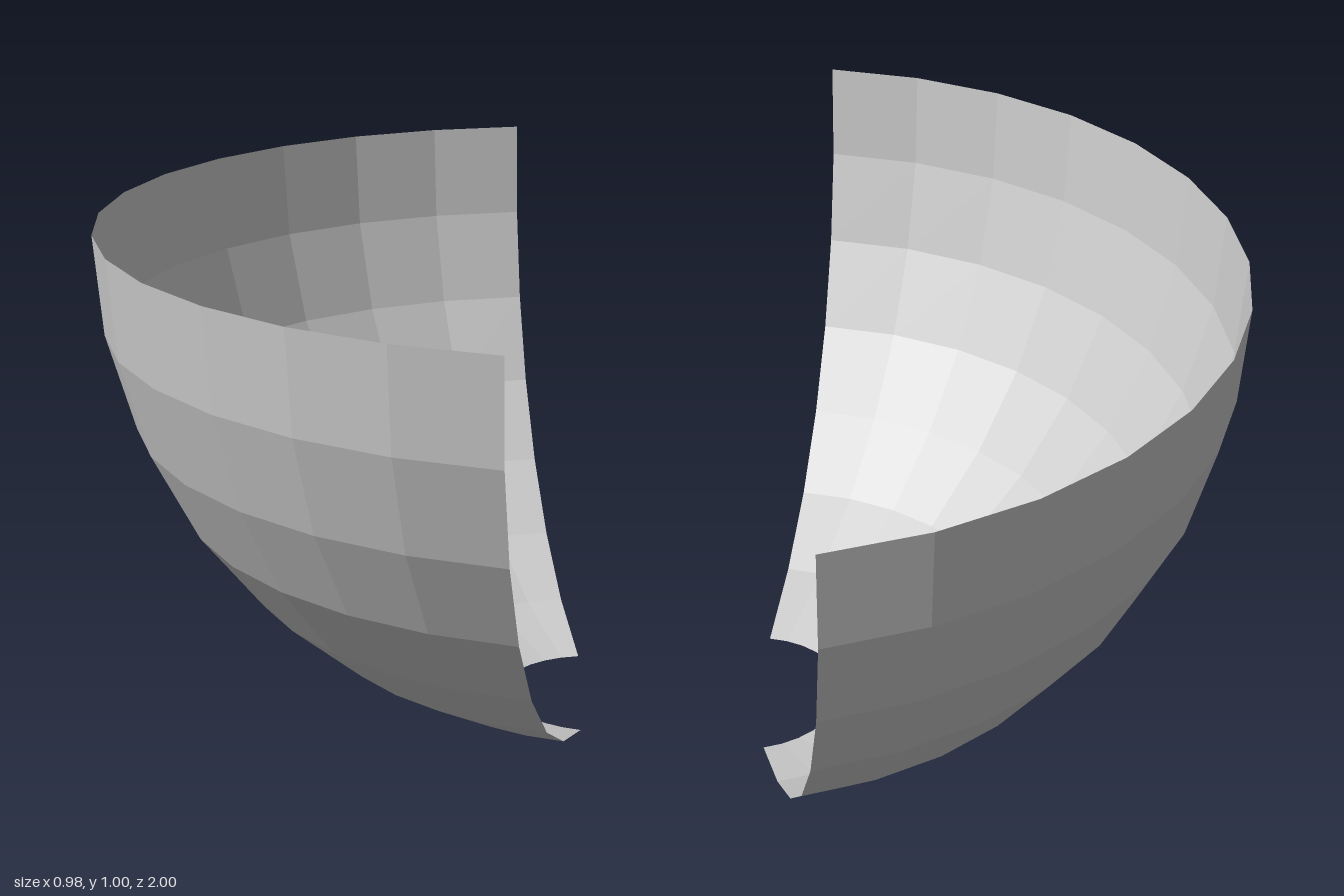
import * as THREE from 'three';

export function createModel() {
  const group = new THREE.Group();
  group.name = 'bowlSection';

  // Facets step by 11.25 degrees both around and down the bowl
  const step = Math.PI / 16;
  const radius = 1 / Math.cos(step);

  // Open wedge of a hemisphere, cut one step short of the pole
  const geometry = new THREE.SphereGeometry(
    radius, 14, 7,
    -7 * step, 14 * step,
    Math.PI / 2, 7 * step
  );
  const shell = new THREE.Mesh(
    geometry,
    new THREE.MeshStandardMaterial({
      color: 0xcccccc,
      flatShading: true,
      side: THREE.DoubleSide,
    })
  );
  shell.name = 'shell';

  // Rim at y = 1, centred between the back and the cut edge
  const innerX = radius * Math.sin(step) * Math.sin(step);
  shell.position.set((radius + innerX) / 2, 1, 0);
  group.add(shell);
  return group;
}
